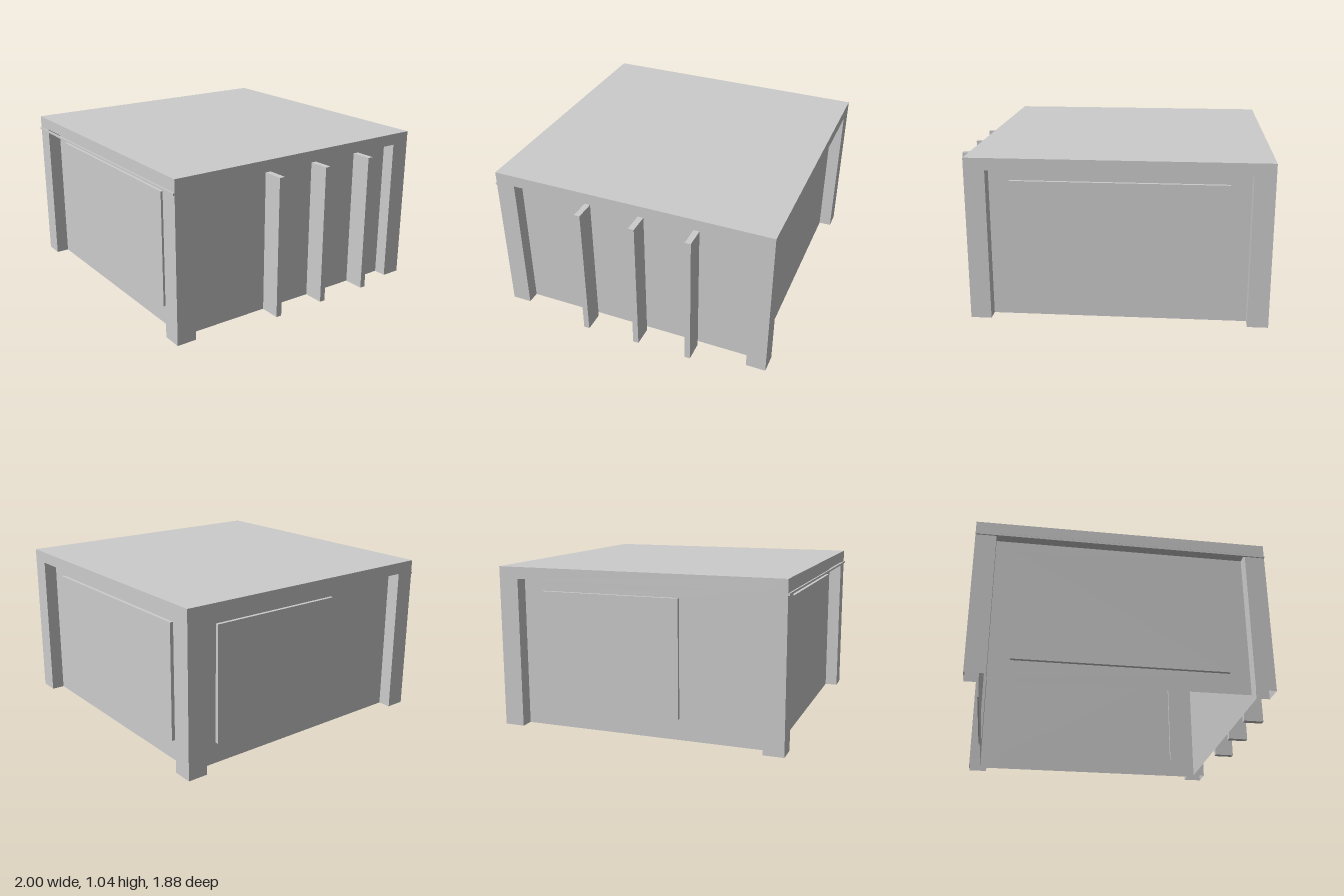
import * as THREE from 'three';

const grey = new THREE.MeshStandardMaterial({ color: 0xcccccc, side: THREE.DoubleSide });
grey.name = 'plain grey';

const TOP = 1.04, LINTEL = 0.965, LEG = 0.13, MARGIN = 0.13;
const RECESS = 0.085, PROUD = 0.022;
const X0 = -1, X1 = 0.865, Z0 = -0.938, Z1 = 0.932;

function add(parent, name, geometry, x = 0, y = 0, z = 0) {
  const mesh = new THREE.Mesh(geometry, grey);
  mesh.name = name;
  mesh.position.set(x, y, z);
  parent.add(mesh);
  return mesh;
}

const box = (w, h, d) => new THREE.BoxGeometry(w, h, d);
const rect = (a, b, c, d) => [[a, b], [a, d], [c, d], [c, b]];
const toVectors = (points) => points.map(([x, y]) => new THREE.Vector2(x, y));

// Flat sheet with an optional opening
function sheet(points, hole) {
  const shape = new THREE.Shape(toVectors(points));
  if (hole) shape.holes.push(new THREE.Path(toVectors(hole)));
  return new THREE.ShapeGeometry(shape);
}

// Band that sweeps a line of points from depth za to depth zb
function band(points, za, zb) {
  const positions = [];
  for (let i = 0; i < points.length - 1; i++) {
    const [px, py] = points[i], [qx, qy] = points[i + 1];
    positions.push(px, py, za, qx, qy, za, qx, qy, zb, px, py, za, qx, qy, zb, px, py, zb);
  }
  const geometry = new THREE.BufferGeometry();
  geometry.setAttribute('position', new THREE.Float32BufferAttribute(positions, 3));
  geometry.computeVertexNormals();
  return geometry;
}

// One side: legs and lintel, recessed wall, and a raised hollow panel.
// u0..u1 is the width along the side; panel is [start, end] or null.
function makeSide(name, u0, u1, panel) {
  const side = new THREE.Group();
  side.name = name;
  const a = u0 + LEG, b = u1 - LEG;
  add(side, 'legsAndLintel', sheet([
    [u0, 0], [a, 0], [a, LINTEL], [b, LINTEL], [b, 0], [u1, 0], [u1, TOP], [u0, TOP],
  ]));
  add(side, 'recessEdges', band([[a, 0], [a, LINTEL], [b, LINTEL], [b, 0]], -RECESS, 0));
  const outline = panel && rect(panel[0], 0.135, panel[1], 0.885);
  add(side, 'wall', sheet(rect(a, 0, b, LINTEL), outline), 0, 0, -RECESS);
  if (outline) {
    add(side, 'panelRim', band([...outline, outline[0]], PROUD - RECESS, -RECESS));
    add(side, 'panelFace', sheet(outline), 0, 0, PROUD - RECESS);
  }
  return side;
}

export function createModel() {
  const model = new THREE.Group();
  model.name = 'shelter';

  // Four sides, open underneath
  const inset = LEG + MARGIN;
  const front = makeSide('frontSide', X0, X1, [X0 + inset, X1 - inset]);
  front.position.z = Z1;
  const back = makeSide('backSide', -X1, -X0, [-X1 + inset, -X0 - inset]);
  back.position.z = Z0;
  back.rotation.y = Math.PI;
  const finSide = makeSide('finSide', -Z1, -Z0, null);
  finSide.position.x = X1;
  finSide.rotation.y = Math.PI / 2;
  const plainSide = makeSide('plainSide', Z0, Z1, [Z0 + inset, 0.25]);
  plainSide.position.x = X0;
  plainSide.rotation.y = -Math.PI / 2;
  model.add(front, back, finSide, plainSide);

  // Flat roof
  const roof = new THREE.PlaneGeometry(X1 - X0, Z1 - Z0).rotateX(-Math.PI / 2);
  add(model, 'roof', roof, (X0 + X1) / 2, TOP, (Z0 + Z1) / 2);

  // Thin trim along the front lintel
  add(model, 'frontTrim', box(X1 - X0, 0.013, 0.01), (X0 + X1) / 2, 0.952, Z1 + 0.004);

  // Upright fins standing clear of the side wall
  for (let i = 0; i < 3; i++) {
    add(model, 'fin', box(1 - X1, 0.91, 0.038), (1 + X1) / 2, 0.51, 0.271 - i * 0.363);
  }
  return model;
}
